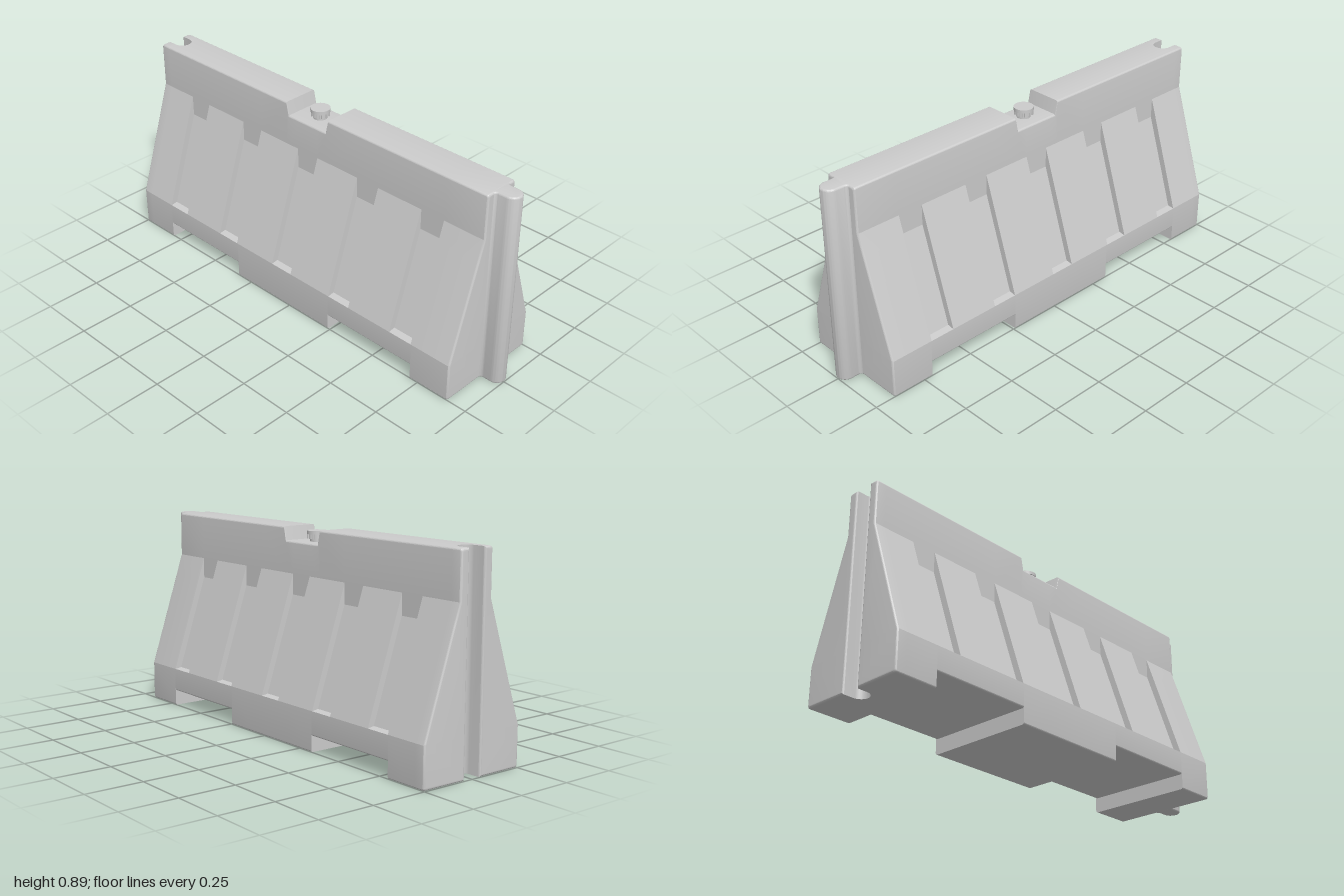
import * as THREE from 'three';
import { toCreasedNormals } from 'three/addons/utils/BufferGeometryUtils.js';

const R = 0.01;                       // edge rounding
const X0 = -1, X1 = 0.91;             // body ends
const H = 0.89, TOP_Z = 0.083, BASE_Z = 0.253;
const SLOPE_LOW = 0.175, SLOPE_HIGH = 0.69;
const RECESSES = [-0.74, -0.393, -0.045, 0.302, 0.65];
const RECESS_HALF = 0.058, RECESS_DEPTH = 0.03;
const FORK_SLOTS = [[-0.8, -0.33], [0.24, 0.71]];
const NOTCH = [-0.17, -0.157, 0.062, 0.075], NOTCH_Y = 0.83;

const lerp = THREE.MathUtils.lerp;
const slopeZ = y => lerp(BASE_Z, TOP_Z, (y - SLOPE_LOW) / (SLOPE_HIGH - SLOPE_LOW));

// Height of the top edge, dipping into the filler notch
function topAt(x) {
  const [a, b, c, d] = NOTCH;
  if (x <= a || x >= d) return H;
  if (x < b) return lerp(H, NOTCH_Y, (x - a) / (b - a));
  return x > c ? lerp(NOTCH_Y, H, (x - c) / (d - c)) : NOTCH_Y;
}

// Half width of the rounded socket in the right-hand end
function socketAt(x) {
  if (x <= -0.95) return 0.04;
  return x > -0.9101 ? 0 : Math.sqrt(Math.max(0, 0.0016 - (x + 0.95) ** 2));
}

// How far the outline shrinks where the ends are rounded
function insetAt(x) {
  const d = Math.min(x - X0, X1 - x);
  return d >= R ? 0 : R - Math.sqrt(Math.max(0, R * R - (R - d) ** 2));
}

// Half cross-section [z, y], from bottom centre outward, up and back to the centre
function section(x, mid) {
  const i = insetAt(x), s = socketAt(x), w = s > 0 ? s + (x < 0 ? i : 0) : 0;
  const recessed = RECESSES.some(c => Math.abs(mid - c) < RECESS_HALF);
  const bottom = (FORK_SLOTS.some(([a, b]) => mid > a && mid < b) ? 0.07 : 0) + i;
  const top = topAt(x) - i, depth = recessed ? RECESS_DEPTH : 0;
  const yBend = SLOPE_HIGH - RECESS_DEPTH * (SLOPE_HIGH - SLOPE_LOW) / (BASE_Z - TOP_Z);
  const pts = [[w, bottom]];
  const N = 5;
  for (let k = 0; k <= N; k++) {
    const t = k / N * Math.PI / 2;
    pts.push([BASE_Z - i - R + R * Math.sin(t), bottom + R - R * Math.cos(t)]);
  }
  pts.push([BASE_Z - i, SLOPE_LOW], [slopeZ(0.18) - i - depth, 0.18],
    [slopeZ(yBend) - i - depth, yBend], [TOP_Z - i, SLOPE_HIGH]);
  for (let k = 0; k <= N; k++) {
    const t = k / N * Math.PI / 2;
    pts.push([TOP_Z - i - R + R * Math.cos(t), top - R + R * Math.sin(t)]);
  }
  pts.push([w, top]);
  return pts;
}

function bodyGeometry() {
  // Stations along the length wherever the cross-section changes
  let xs = [...NOTCH, ...FORK_SLOTS.flat()];
  RECESSES.forEach(c => xs.push(c - RECESS_HALF, c + RECESS_HALF));
  for (let k = 0; k <= 5; k++) {
    const d = R * (1 - Math.cos(k / 5 * Math.PI / 2));
    xs.push(X0 + d, X1 - d);
  }
  for (let k = 0; k <= 8; k++) xs.push(-0.95 + 0.04 * Math.sin(k / 8 * Math.PI / 2));
  xs.sort((a, b) => a - b);

  const rings = [];
  for (let k = 0; k + 1 < xs.length; k++) {
    const mid = (xs[k] + xs[k + 1]) / 2;
    for (const x of [xs[k], xs[k + 1]]) rings.push({ x, pts: section(x, mid) });
  }

  const pos = [];
  const tri = new THREE.Triangle();
  const addTri = (a, b, c) => {
    tri.set(a, b, c);
    if (tri.getArea() > 1e-9) for (const v of [a, b, c]) pos.push(v.x, v.y, v.z);
  };
  const addQuad = (a, b, c, d, flip) => {
    if (flip) [b, d] = [d, b];
    addTri(a, b, c);
    addTri(a, c, d);
  };

  for (const side of [1, -1]) {
    const P = (x, p) => new THREE.Vector3(x, p[1], side * p[0]);
    const flip = side < 0;
    for (let k = 0; k + 1 < rings.length; k++) {
      const A = rings[k], B = rings[k + 1], n = A.pts.length;
      for (let j = 0; j < n; j++) {
        const m = (j + 1) % n;
        // no inner wall where the two halves meet
        if (m === 0 && A.pts[0][0] + B.pts[0][0] === 0) continue;
        addQuad(P(A.x, A.pts[j]), P(B.x, B.pts[j]), P(B.x, B.pts[m]), P(A.x, A.pts[m]), flip);
      }
    }
    // End faces
    for (const [ring, turn] of [[rings[0], false], [rings[rings.length - 1], true]]) {
      const p = ring.pts, w = p[0][0];
      for (let j = 0; j + 1 < p.length; j++) {
        addQuad(P(ring.x, [w, p[j][1]]), P(ring.x, p[j]), P(ring.x, p[j + 1]),
          P(ring.x, [w, p[j + 1][1]]), flip !== turn);
      }
    }
  }
  const geo = new THREE.BufferGeometry();
  geo.setAttribute('position', new THREE.Float32BufferAttribute(pos, 3));
  return toCreasedNormals(geo, 0.3);
}

// Full-height connector that fits the socket of the next barrier
function tongueGeometry() {
  const s = new THREE.Shape();
  s.moveTo(0.9, -0.05);
  s.lineTo(0.91, -0.05);
  s.quadraticCurveTo(0.912, -0.04, 0.925, -0.04);
  s.lineTo(0.96, -0.04);
  s.absarc(0.96, 0, 0.04, -Math.PI / 2, Math.PI / 2, false);
  s.lineTo(0.925, 0.04);
  s.quadraticCurveTo(0.912, 0.04, 0.91, 0.05);
  s.lineTo(0.9, 0.05);
  s.closePath();
  const b = 0.008;
  const geo = new THREE.ExtrudeGeometry(s, {
    depth: H - 2 * b, bevelThickness: b, bevelSize: b, bevelOffset: -b,
    bevelSegments: 4, curveSegments: 16,
  });
  geo.rotateX(-Math.PI / 2).translate(0, b, 0);
  return toCreasedNormals(geo, 0.5);
}

export function createModel() {
  const model = new THREE.Group();
  model.name = 'barrier';
  const material = new THREE.MeshStandardMaterial({ color: 0xcccccc });
  const add = (parent, name, geo) => {
    const mesh = new THREE.Mesh(geo, material);
    mesh.name = name;
    parent.add(mesh);
    return mesh;
  };

  add(model, 'body', bodyGeometry());
  add(model, 'connectorTongue', tongueGeometry());

  // Ribbed filler cap in the notch
  const cap = new THREE.Group();
  cap.name = 'fillerCap';
  cap.position.set(-0.05, NOTCH_Y, 0);
  model.add(cap);
  const disc = (name, r, y0, y1) =>
    add(cap, name, new THREE.CylinderGeometry(r, r, y1 - y0, 32).translate(0, (y0 + y1) / 2, 0));
  disc('capNeck', 0.03, -0.005, 0.016);
  disc('capSkirt', 0.036, 0.014, 0.034);
  disc('capTop', 0.043, 0.032, 0.047);
  for (let k = 0; k < 12; k++) {
    const rib = add(cap, 'capRib', new THREE.BoxGeometry(0.008, 0.024, 0.009).translate(0.037, 0.024, 0));
    rib.rotation.y = k / 12 * Math.PI * 2;
  }
  return model;
}
